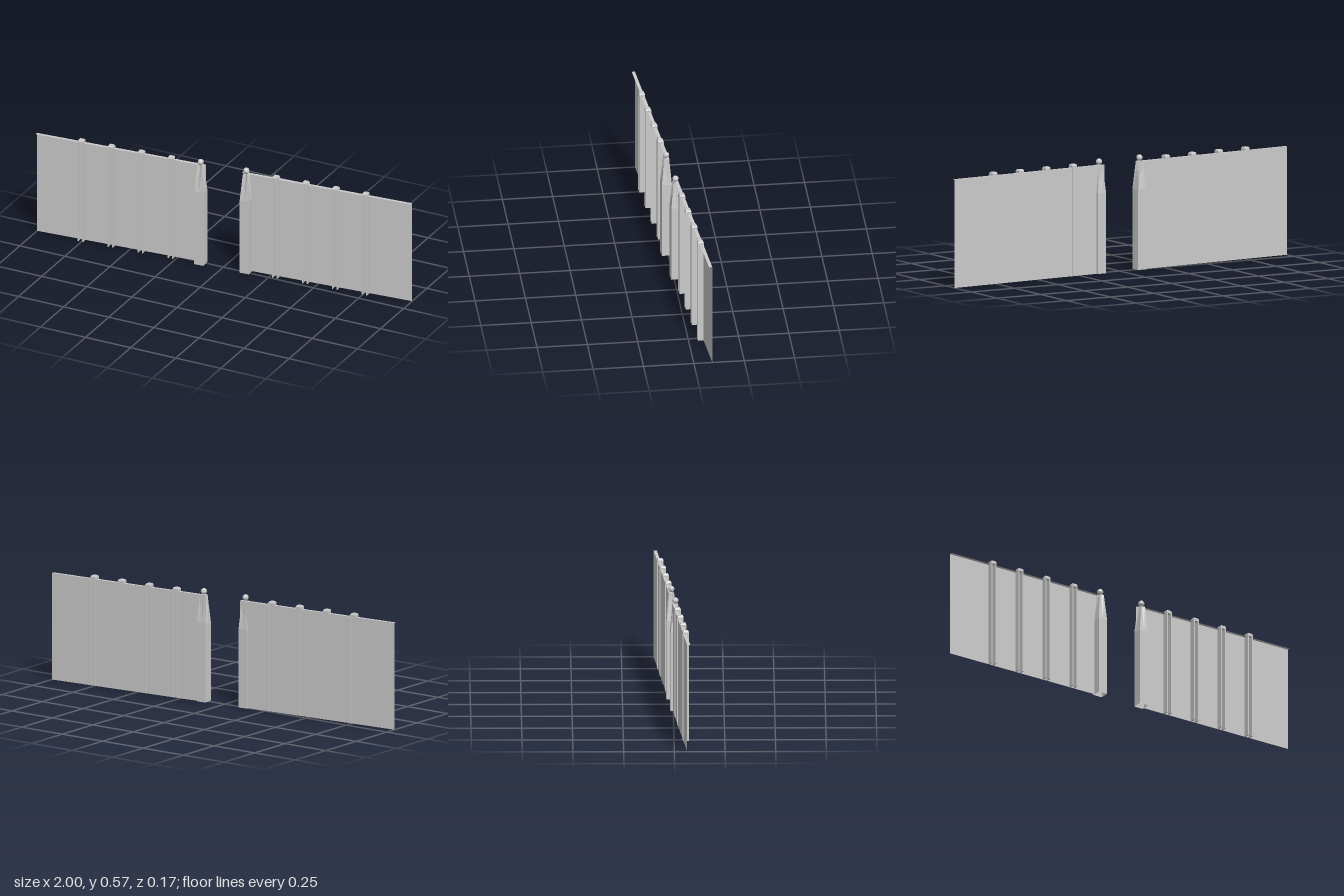
import * as THREE from 'three';

const mat = new THREE.MeshStandardMaterial({ color: 0xcccccc, flatShading: true, side: THREE.DoubleSide });
const WALL_H = 0.54;

function add(parent, name, geometry, x = 0, y = 0, z = 0) {
  const mesh = new THREE.Mesh(geometry, mat);
  mesh.name = name;
  mesh.position.set(x, y, z);
  parent.add(mesh);
  return mesh;
}

// Square block whose top is smaller than its base
function frustum(w, d, h, topScale) {
  const g = new THREE.BoxGeometry(w, h, d);
  const p = g.attributes.position;
  for (let i = 0; i < p.count; i++) {
    if (p.getY(i) > 0) p.setXYZ(i, p.getX(i) * topScale, p.getY(i), p.getZ(i) * topScale);
  }
  return g;
}

// Square pillar whose sides pinch into a four-pointed star toward the neck
function pillarGeometry() {
  const levels = [
    { y: 0, corner: 0.025, mid: 0.025 },
    { y: 0.4, corner: 0.025, mid: 0.025 },
    { y: WALL_H, corner: 0.013, mid: 0.006 },
  ];
  const g = new THREE.CylinderGeometry(1, 1, 2, 8, 2, true);
  const p = g.attributes.position;
  for (let i = 0; i < p.count; i++) {
    const l = levels[Math.round(p.getY(i)) + 1];
    const sx = Math.round(p.getX(i)), sz = Math.round(p.getZ(i));
    const r = sx !== 0 && sz !== 0 ? l.corner : l.mid;
    p.setXYZ(i, sx * r, l.y, sz * r);
  }
  g.computeVertexNormals();
  return g;
}

// Upright channel: two flanges standing on the panel, closed by a bevelled cap
function makePost(x) {
  const post = new THREE.Group();
  post.name = 'post';
  post.position.set(x, 0, 0.013);
  for (const s of [-1, 1]) {
    add(post, 'postFlange', new THREE.BoxGeometry(0.006, WALL_H, 0.03), s * 0.012, WALL_H / 2, 0);
  }
  add(post, 'postCapBase', new THREE.BoxGeometry(0.03, 0.01, 0.03), 0, WALL_H + 0.005, 0);
  add(post, 'postCapTop', frustum(0.03, 0.03, 0.007, 0.75), 0, WALL_H + 0.0135, 0);
  return post;
}

function makeWall(side) {
  const wall = new THREE.Group();
  wall.name = side > 0 ? 'leftWall' : 'rightWall';
  const length = 0.903, cx = side * 0.5515;

  // Thin panel with a ledge along its top
  add(wall, 'panel', new THREE.PlaneGeometry(length, WALL_H), cx, WALL_H / 2, 0);
  add(wall, 'topLedge', new THREE.PlaneGeometry(length, 0.016).rotateX(-Math.PI / 2), cx, WALL_H, 0.008);

  for (const x of [0.28, 0.44, 0.6, 0.76]) wall.add(makePost(side * x));

  // Pillar beside the opening, topped by a ball
  const pillar = new THREE.Group();
  pillar.name = 'gatePillar';
  pillar.position.set(side * 0.122, 0, 0.0145);
  add(pillar, 'pillarShaft', pillarGeometry());
  add(pillar, 'pillarBall', new THREE.SphereGeometry(0.016, 8, 6), 0, 0.556, 0);
  wall.add(pillar);
  return wall;
}

export function createModel() {
  const model = new THREE.Group();
  model.name = 'gatewayWall';
  const line = new THREE.Group();
  line.name = 'wallLine';
  line.position.z = -0.014;
  line.rotation.y = Math.atan(0.0775);
  for (const side of [-1, 1]) line.add(makeWall(side));
  model.add(line);
  return model;
}
